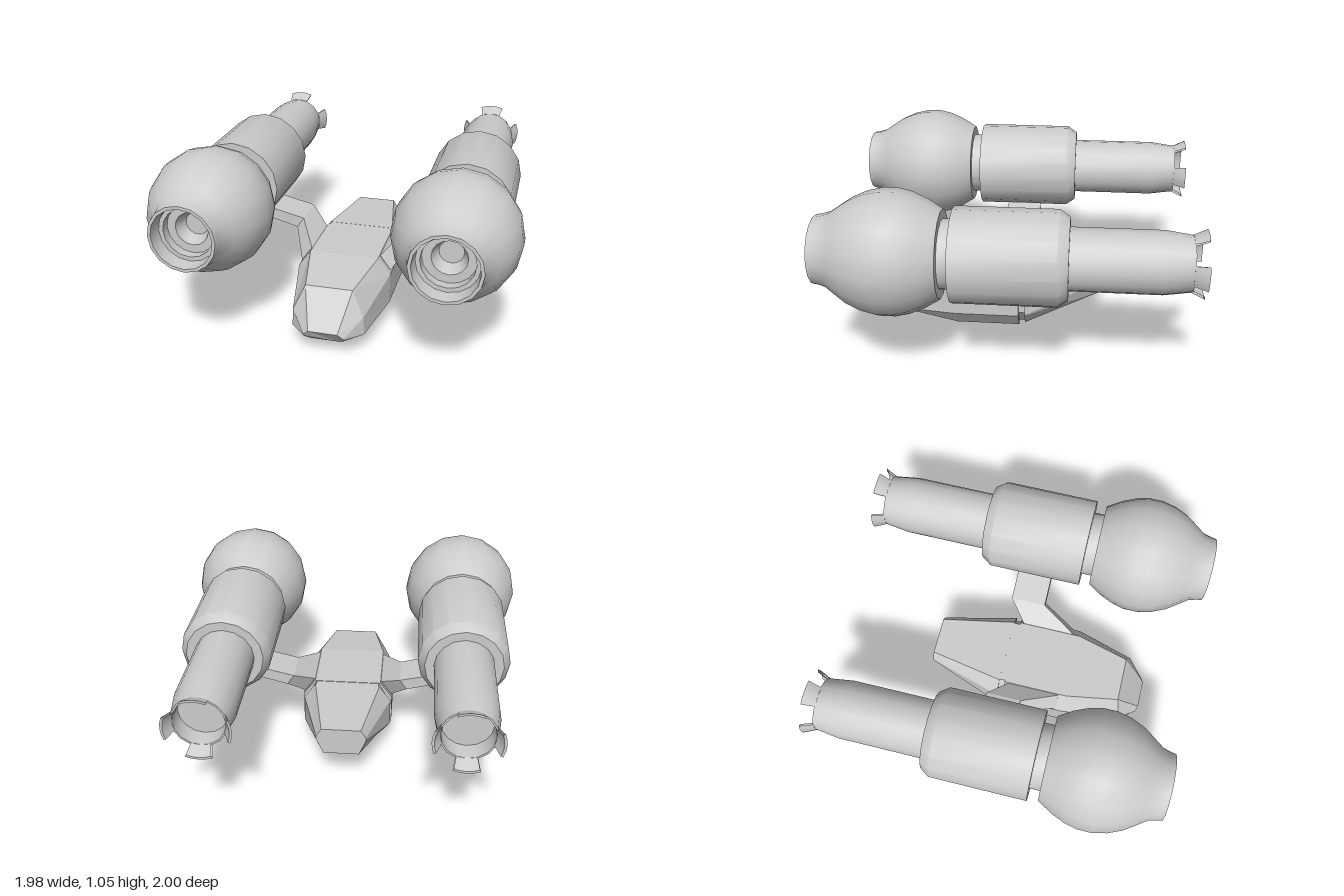
import * as THREE from 'three';
import { toCreasedNormals } from 'three/addons/utils/BufferGeometryUtils.js';

const smooth = new THREE.MeshStandardMaterial({ color: 0xcccccc });
const thin = new THREE.MeshStandardMaterial({ color: 0xcccccc, side: THREE.DoubleSide });
const faceted = new THREE.MeshStandardMaterial({ color: 0xcccccc, flatShading: true });

// Joins rings of points (counter-clockwise around the direction of travel) and caps both ends
function loft(rings) {
  const pos = [];
  const tri = (a, b, c) => pos.push(...a, ...b, ...c);
  const n = rings[0].length;
  for (let s = 0; s < rings.length - 1; s++) {
    for (let i = 0; i < n; i++) {
      const j = (i + 1) % n, p = rings[s], q = rings[s + 1];
      tri(p[i], p[j], q[j]);
      tri(p[i], q[j], q[i]);
    }
  }
  const first = rings[0], last = rings[rings.length - 1];
  for (let i = 1; i < n - 1; i++) {
    tri(first[0], first[i + 1], first[i]);
    tri(last[0], last[i], last[i + 1]);
  }
  const g = new THREE.BufferGeometry();
  g.setAttribute('position', new THREE.Float32BufferAttribute(pos, 3));
  g.computeVertexNormals();
  return g;
}

// Completes a half section (bottom to top on the +x side) into a symmetric ring
const symmetric = half => [...half, ...half.map(([x, y, z]) => [-x, y, z]).reverse()];
const at = (z, pts) => pts.map(([x, y]) => [x, y, z]);

// Turned part lying along z; profile is [radius, z] from back to front
function turned(profile, segments, start = 0, length = Math.PI * 2) {
  const pts = profile.map(([r, z]) => new THREE.Vector2(r, z));
  const g = new THREE.LatheGeometry(pts, segments, start, length).rotateX(Math.PI / 2);
  return toCreasedNormals(g, 0.6);
}

function named(name, geometry, material) {
  const m = new THREE.Mesh(geometry, material);
  m.name = name;
  return m;
}

function makeEngine() {
  const engine = new THREE.Group();
  // hollow exhaust tube
  engine.add(named('exhaustTube', turned([
    [0, -0.84], [0.13, -0.84], [0.135, -0.935], [0.145, -0.935],
    [0.165, -0.79], [0.165, -0.3],
  ], 16), smooth));
  // chamfered main barrel
  engine.add(named('barrel', turned([
    [0, -0.315], [0.215, -0.315], [0.252, -0.26], [0.252, 0.28], [0, 0.28],
  ], 16), smooth));
  engine.add(named('neck', turned([[0.183, 0.27], [0.183, 0.35]], 16), smooth));
  // bulb with a stepped intake sunk into its front
  engine.add(named('intakeBulb', turned([
    [0, 0.34], [0.235, 0.34], [0.283, 0.42], [0.317, 0.5], [0.333, 0.57], [0.333, 0.65],
    [0.315, 0.73], [0.28, 0.81], [0.235, 0.875], [0.2, 0.925], [0.187, 0.97], [0.182, 1],
    [0.165, 1], [0.158, 0.92], [0.135, 0.92], [0.135, 0.87], [0.09, 0.87], [0.062, 0.8], [0, 0.8],
  ], 16), smooth));
  // four flared petals around the exhaust
  for (let k = 0; k < 4; k++) {
    engine.add(named('exhaustPetal', turned([
      [0.133, -0.93], [0.165, -1], [0.178, -1], [0.146, -0.93], [0.133, -0.93],
    ].reverse(), 4, k * Math.PI / 2 - Math.PI / 8, Math.PI / 4), thin));
  }
  return engine;
}

function makeArm(side) {
  // each section: upper edge x, y, lower edge x, y, rear z, front z
  const rings = [
    [0.17, 0.37, 0.24, 0.30, 0.0, 0.31],
    [0.2, 0.395, 0.26, 0.31, 0.0, 0.31],
    [0.31, 0.475, 0.35, 0.415, -0.1, 0.105],
    [0.5, 0.52, 0.52, 0.46, -0.1, 0.105],
  ].map(([xu, yu, xl, yl, zr, zf]) => {
    const ring = [[xu, yu, zr], [xu, yu, zf], [xl, yl, zf], [xl, yl, zr]];
    return side > 0 ? ring : ring.map(([x, y, z]) => [-x, y, z]).reverse();
  });
  return named(side > 0 ? 'leftArm' : 'rightArm', loft(rings), faceted);
}

function makeHull() {
  const hull = new THREE.Group();
  hull.name = 'hull';
  const full = [[0.19, 0.03], [0.265, 0.13], [0.265, 0.3], [0.195, 0.395]];
  const slot = [[0.17, 0.05], [0.24, 0.14], [0.24, 0.295], [0.185, 0.392]];
  const shoulder = [[0.18, 0.04], [0.258, 0.13], [0.258, 0.3], [0.19, 0.393]];
  // tail, side slot, middle and tapering nose
  hull.add(named('hullBody', loft([
    at(-0.485, [[0.1, 0.22], [0.14, 0.315], [0.14, 0.335], [0.11, 0.382]]),
    at(-0.055, shoulder), at(-0.055, slot), at(-0.02, slot), at(-0.02, full),
    at(0.35, full),
    [[0.13, 0.07, 0.66], [0.2, 0.115, 0.69], [0.195, 0.215, 0.69], [0.13, 0.355, 0.66]],
    [[0.08, 0.08, 0.74], [0.11, 0.11, 0.775], [0.11, 0.13, 0.79], [0.08, 0.158, 0.8]],
  ].map(symmetric)), faceted));
  // wedge under the nose
  hull.add(named('chin', loft([
    at(0.4, [[0.12, 0.028], [0.14, 0.1]]),
    at(0.47, [[0.09, 0.0], [0.13, 0.1]]),
    at(0.66, [[0.075, 0.035], [0.11, 0.1]]),
    at(0.69, [[0.07, 0.075], [0.09, 0.1]]),
  ].map(symmetric)), faceted));
  return hull;
}

export function createModel() {
  const model = new THREE.Group();
  model.name = 'twinEngineCraft';
  model.add(makeHull());
  for (const side of [1, -1]) {
    const engine = makeEngine();
    engine.name = side > 0 ? 'leftEngine' : 'rightEngine';
    engine.position.set(side * 0.657, 0.722, 0);
    model.add(engine, makeArm(side));
  }
  return model;
}
